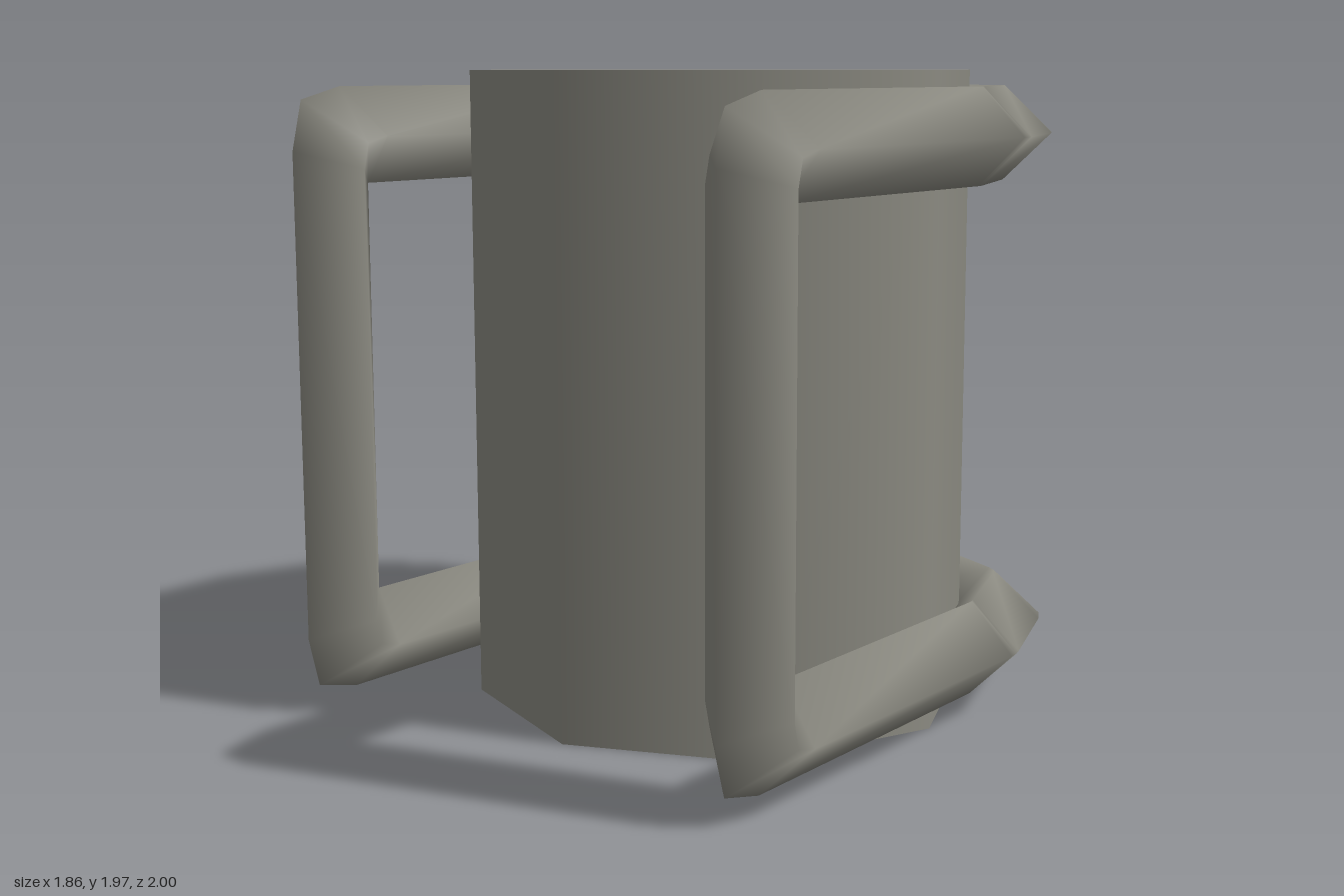
import * as THREE from 'three';
import { mergeVertices } from 'three/addons/utils/BufferGeometryUtils.js';

const R = 0.147; // half width of the four-sided bar

// Closed bar along a loop of corner points, each corner mitred and slightly bevelled
function barLoop(path) {
  const positions = [], index = [];
  const count = path.length;
  path.forEach((p, i) => {
    const d1 = p.clone().sub(path[(i + count - 1) % count]).normalize();
    const d2 = path[(i + 1) % count].clone().sub(p).normalize();
    const m = d1.clone().sub(d2).normalize();
    const n = d1.clone().cross(d2).normalize();
    const half = d1.angleTo(d2) / 2;
    const setback = 0.19 * Math.tan(half);
    // Cross-section corners: [direction, reach, bevel weight]
    const reach = R / Math.cos(half);
    let ring = [[m, reach, 1], [n, R, 0.5], [m, -reach, 0], [n, -R, 0.5]];
    // Corners between a hoop and a post bend about x, so keep the roll aligned
    if (Math.abs(n.y) < 0.5) ring = [ring[3], ring[0], ring[1], ring[2]];
    const shifts = [
      d1.clone().multiplyScalar(-setback),
      d2.clone().sub(d1).multiplyScalar(setback * 0.2),
      d2.clone().multiplyScalar(setback),
    ];
    for (const shift of shifts) {
      for (const [dir, len, w] of ring) {
        const v = p.clone().addScaledVector(dir, len).addScaledVector(shift, w);
        positions.push(v.x, v.y, v.z);
      }
    }
  });
  const rings = count * 3;
  for (let i = 0; i < rings; i++) {
    for (let k = 0; k < 4; k++) {
      const j = (i + 1) % rings, l = (k + 1) % 4;
      const a = i * 4 + k, b = j * 4 + k, c = j * 4 + l, d = i * 4 + l;
      index.push(a, b, c, a, c, d);
    }
  }
  const geo = new THREE.BufferGeometry();
  geo.setAttribute('position', new THREE.Float32BufferAttribute(positions, 3));
  geo.setIndex(index);
  const merged = mergeVertices(geo, 1e-4);
  merged.computeVertexNormals();
  return merged;
}

export function createModel() {
  const group = new THREE.Group();
  group.name = 'canisterWithFrame';
  const grey = new THREE.MeshStandardMaterial({ color: 0x8c8b82 });
  grey.name = 'warmGrey';

  // Eight-sided canister with smooth sides
  const height = 1.965;
  const canister = new THREE.Mesh(new THREE.CylinderGeometry(0.783, 0.783, height, 8), grey);
  canister.name = 'canister';
  canister.position.set(0, height / 2, -0.063);
  group.add(canister);

  // Upper and lower hoops joined by two front posts
  const side = [[0.785, 0.853], [0.785, -0.3], [0.65, -0.683], [0.306, -0.853]];
  const hoop = [...side, ...side.map(([x, z]) => [-x, z]).reverse()];
  const upper = hoop.map(([x, z]) => new THREE.Vector3(x, 1.77, z));
  const lower = hoop.map(([x, z]) => new THREE.Vector3(x, 0.198, z)).reverse();
  const frame = new THREE.Mesh(barLoop([...upper, ...lower]), grey);
  frame.name = 'carryFrame';
  group.add(frame);

  return group;
}
